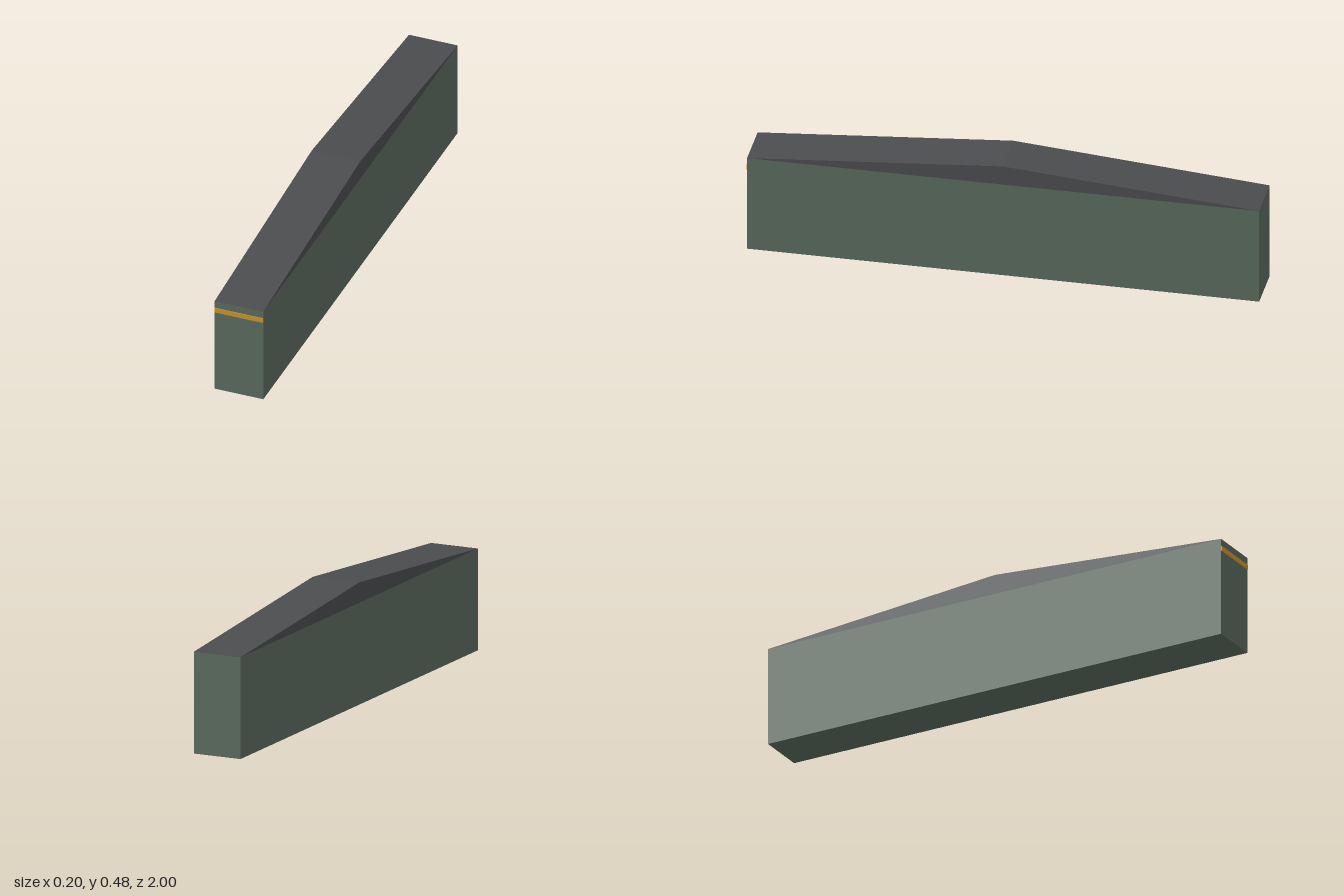
import * as THREE from 'three';

const WIDTH = 0.2, WALL = 0.4, PEAK = 0.48, BACK = -1, FRONT = 0.997;

function makeMaterial(name, color) {
  const material = new THREE.MeshStandardMaterial({ color });
  material.name = name;
  return material;
}

// Extrudes a side outline of [z, y] points across the model's width
function sideProfile(name, points, material) {
  const shape = new THREE.Shape(points.map(([z, y]) => new THREE.Vector2(-z, y)));
  const geometry = new THREE.ExtrudeGeometry(shape, { depth: WIDTH, bevelEnabled: false });
  geometry.translate(0, 0, -WIDTH / 2);
  geometry.rotateY(Math.PI / 2);
  const mesh = new THREE.Mesh(geometry, material);
  mesh.name = name;
  return mesh;
}

export function createModel() {
  const group = new THREE.Group();
  group.name = 'gabledBlock';
  const green = makeMaterial('greyGreen', 0x5a6b5d);
  const grey = makeMaterial('darkGrey', 0x4a4c4e);
  const amber = makeMaterial('amber', 0xc8962c);

  // Long narrow body
  const body = new THREE.Mesh(new THREE.BoxGeometry(WIDTH, WALL, FRONT - BACK), green);
  body.name = 'body';
  body.position.set(0, WALL / 2, (FRONT + BACK) / 2);
  group.add(body);

  // Shallow roof with its ridge across the middle
  group.add(sideProfile('roof', [[FRONT, WALL], [0, PEAK], [BACK, WALL]], grey));

  // Thin stripe across the front end
  const stripe = new THREE.Mesh(new THREE.BoxGeometry(WIDTH, 0.02, 1 - FRONT), amber);
  stripe.name = 'frontStripe';
  stripe.position.set(0, 0.36, (1 + FRONT) / 2);
  group.add(stripe);

  return group;
}
